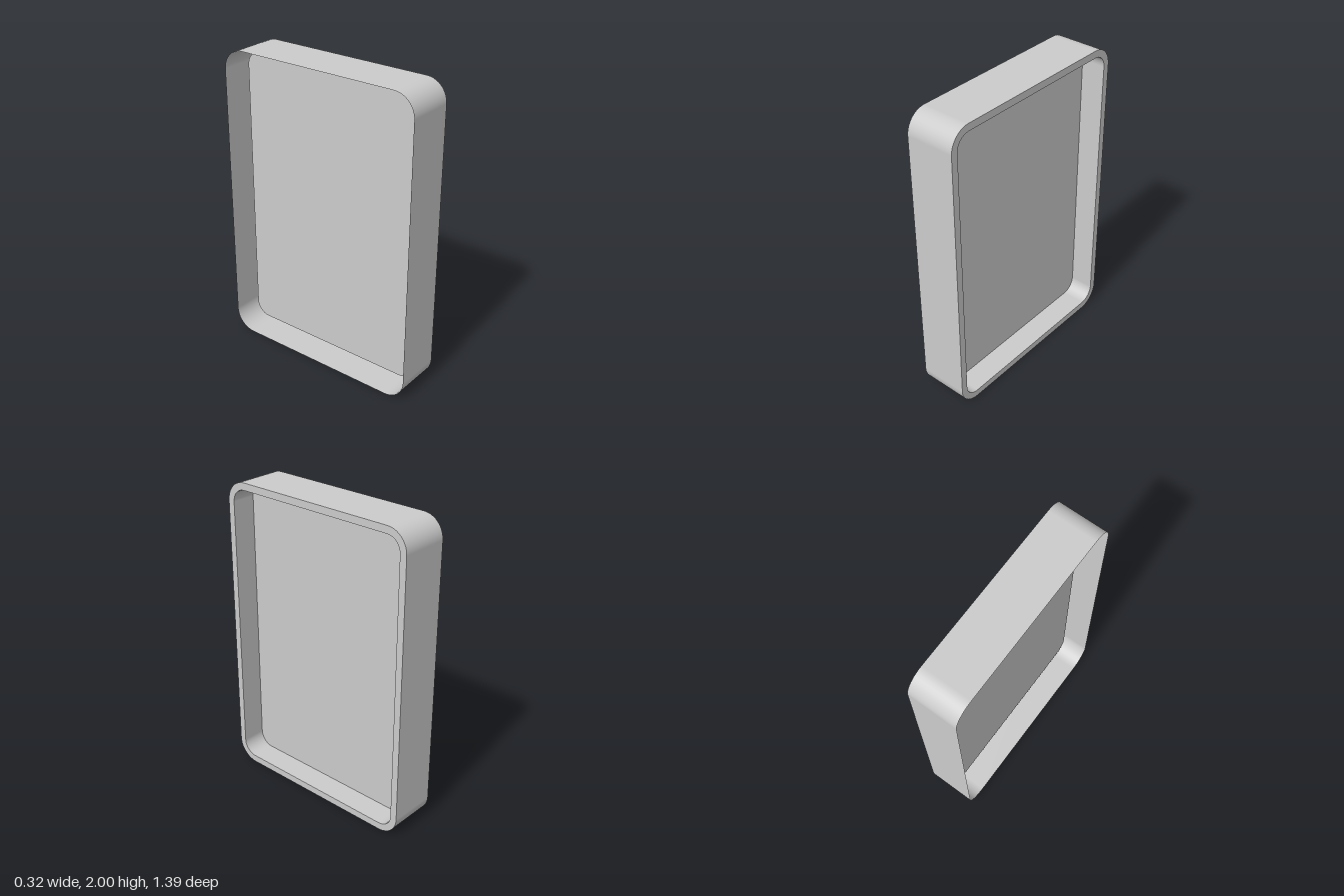
import * as THREE from 'three';

const HALF_DEPTH = 0.16, STEPS = 10;
const material = new THREE.MeshStandardMaterial({ color: 0xcccccc, side: THREE.DoubleSide });

// Rounded rectangle in the z-y plane; each point carries its corner angle
function outline(halfZ, halfY, r) {
  const pts = [];
  for (let k = 0; k < 4; k++) {
    const sz = k === 0 || k === 3 ? 1 : -1, sy = k < 2 ? 1 : -1;
    for (let i = 0; i <= STEPS; i++) {
      const a = (k + i / STEPS) * Math.PI / 2;
      pts.push({ a, z: sz * (halfZ - r) + r * Math.cos(a), y: 1 + sy * (halfY - r) + r * Math.sin(a) });
    }
  }
  return pts;
}

// Smooth band along an outline from x0 to x1, facing outward (1) or inward (-1)
function wall(pts, x0, x1, facing) {
  const pos = [], nor = [], idx = [], n = pts.length;
  pts.forEach(({ a, z, y }, i) => {
    for (const x of [x0, x1]) {
      pos.push(x, y, z);
      nor.push(0, facing * Math.sin(a), facing * Math.cos(a));
    }
    const p = 2 * i, q = 2 * ((i + 1) % n);
    if (facing > 0) idx.push(p, p + 1, q + 1, p, q + 1, q);
    else idx.push(p, q + 1, p + 1, p, q, q + 1);
  });
  const g = new THREE.BufferGeometry();
  g.setAttribute('position', new THREE.Float32BufferAttribute(pos, 3));
  g.setAttribute('normal', new THREE.Float32BufferAttribute(nor, 3));
  g.setIndex(idx);
  return g;
}

// Flat sheet facing +x, with an optional hole
function sheet(pts, x, hole) {
  const flat = (list) => list.map((p) => new THREE.Vector2(p.z, p.y));
  const shape = new THREE.Shape(flat(pts));
  if (hole) shape.holes.push(new THREE.Path(flat(hole)));
  return new THREE.ShapeGeometry(shape).rotateY(Math.PI / 2).translate(x, 0, 0);
}

export function createModel() {
  const group = new THREE.Group();
  group.name = 'tray';
  const outer = outline(0.693, 1, 0.137);
  const inner = outline(0.648, 0.953, 0.092);
  const add = (name, geometry) => {
    const mesh = new THREE.Mesh(geometry, material);
    mesh.name = name;
    group.add(mesh);
  };

  // Shell is open on the -x side, behind the recessed panel
  add('outerWall', wall(outer, -HALF_DEPTH, HALF_DEPTH, 1));
  add('rim', sheet(outer, HALF_DEPTH, inner));
  add('innerWall', wall(inner, 0, HALF_DEPTH, -1));
  add('panel', sheet(inner, 0));
  return group;
}
